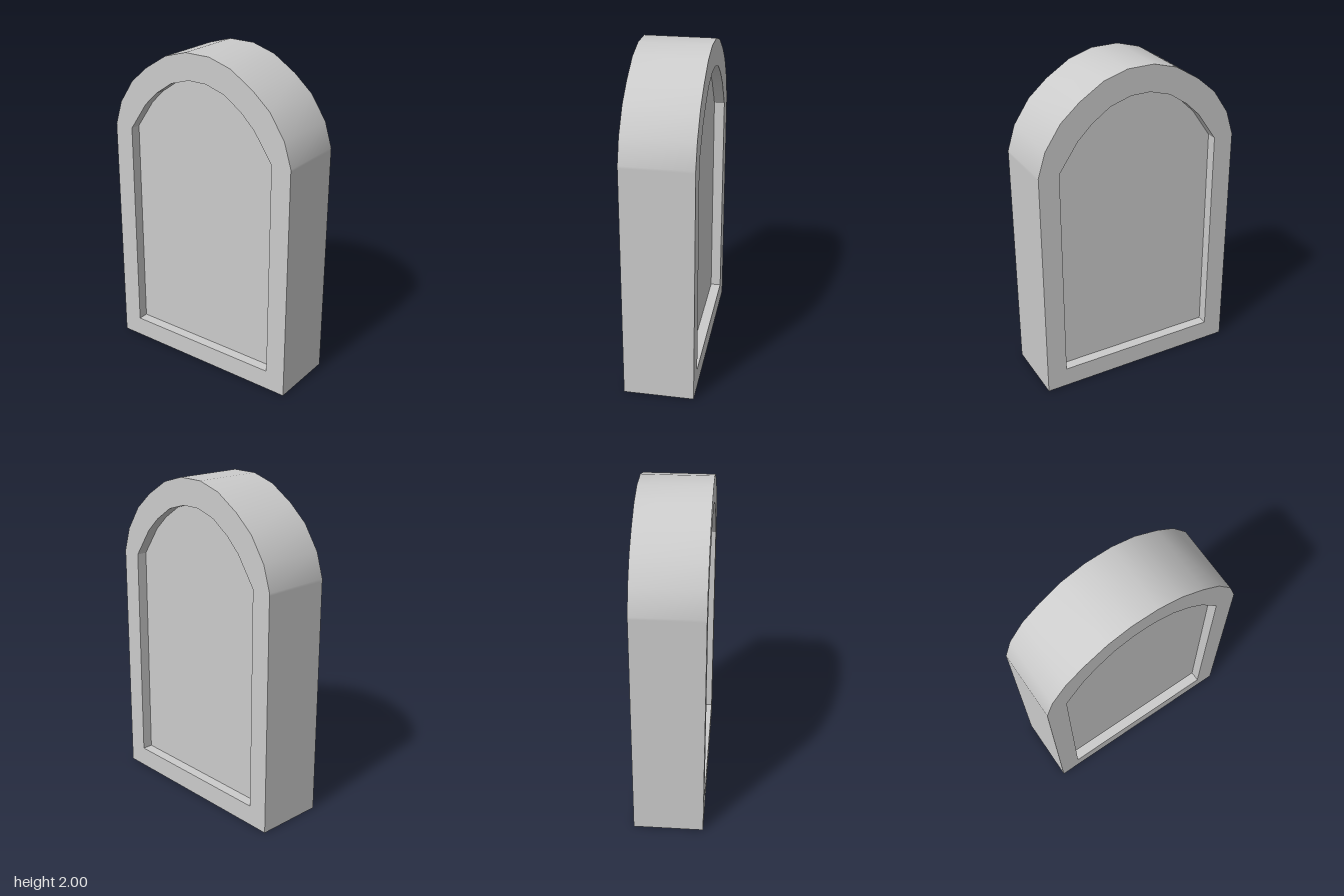
import * as THREE from 'three';
import { toCreasedNormals } from 'three/addons/utils/BufferGeometryUtils.js';

const DEPTH = 0.424;   // full thickness of the frame
const RECESS = 0.064;  // how far each panel sits back from the frame face

// Right half of each arched outline, from the bottom corner up to the crown
const OUTER = [[0.637, 0], [0.637, 1.455], [0.637, 1.47], [0.59, 1.62], [0.493, 1.765],
  [0.377, 1.865], [0.23, 1.957], [0.083, 2]];
const INNER = [[0.511, 0.125], [0.511, 1.467], [0.392, 1.64], [0.304, 1.725], [0.19, 1.803], [0.06, 1.842]];

// Mirror a half outline into a closed counter-clockwise loop
function archLoop(half) {
  const mirrored = half.map(([x, y]) => [-x, y]).reverse();
  return [...half, ...mirrored].map(([x, y]) => new THREE.Vector2(x, y));
}

export function createModel() {
  const group = new THREE.Group();
  group.name = 'archedWindow';
  const material = new THREE.MeshStandardMaterial({ color: 0xcccccc });

  // Arched frame with its opening; the arch is smooth, the corners sharp
  const frameShape = new THREE.Shape(archLoop(OUTER));
  frameShape.holes.push(new THREE.Path(archLoop(INNER).reverse()));
  const frameGeometry = new THREE.ExtrudeGeometry(frameShape, { depth: DEPTH, bevelEnabled: false });
  frameGeometry.translate(0, 0, -DEPTH / 2);
  const frame = new THREE.Mesh(toCreasedNormals(frameGeometry, 0.55), material);
  frame.name = 'frame';
  group.add(frame);

  // Recessed panel on the front and on the back
  const panelGeometry = new THREE.ShapeGeometry(new THREE.Shape(archLoop(INNER)));
  for (const [name, side] of [['frontPanel', 1], ['backPanel', -1]]) {
    const panel = new THREE.Mesh(panelGeometry, material);
    panel.name = name;
    panel.position.z = side * (DEPTH / 2 - RECESS);
    if (side < 0) panel.rotation.y = Math.PI;
    group.add(panel);
  }
  return group;
}
